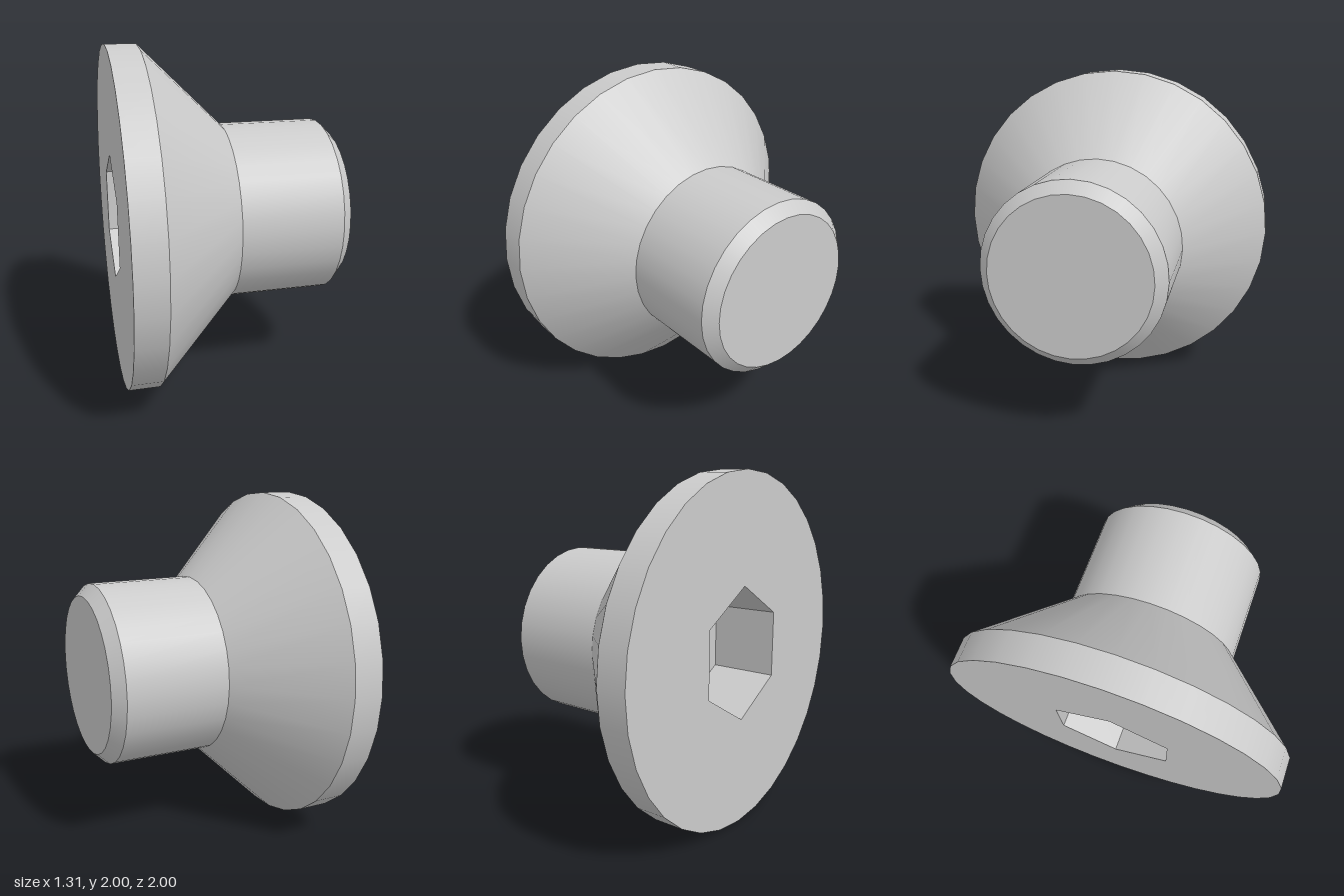
import * as THREE from 'three';

const SIDES = 32;
const SOCKET_R = 0.38, SOCKET_DEPTH = 0.4;
const END = 0.655; // half length along the x axis

// Points of a regular polygon, first corner on +y
function polygon(radius, sides) {
  return Array.from({ length: sides }, (_, i) => {
    const a = Math.PI / 2 + (i / sides) * Math.PI * 2;
    return new THREE.Vector2(radius * Math.cos(a), radius * Math.sin(a));
  });
}

export function createModel() {
  const group = new THREE.Group();
  const grey = new THREE.MeshStandardMaterial({ color: 0xcccccc });
  const inside = new THREE.MeshStandardMaterial({ color: 0xcccccc, flatShading: true, side: THREE.BackSide });

  const add = (name, geometry, material = grey) => {
    const mesh = new THREE.Mesh(geometry, material);
    mesh.name = name;
    mesh.position.y = 1;
    group.add(mesh);
  };

  // Turned surfaces: name, start x, start radius, end x, end radius
  const bands = [
    ['headRim', -END, 1, -0.48, 1],
    ['headCone', -0.48, 1, 0, 0.523],
    ['shank', 0, 0.523, 0.59, 0.523],
    ['tipChamfer', 0.59, 0.523, END, 0.458],
  ];
  for (const [name, x0, r0, x1, r1] of bands) {
    const profile = [new THREE.Vector2(r0, x0), new THREE.Vector2(r1, x1)];
    add(name, new THREE.LatheGeometry(profile, SIDES).rotateZ(-Math.PI / 2));
  }

  // Flat end of the shank
  add('tipFace', new THREE.CircleGeometry(0.458, SIDES).rotateY(Math.PI / 2).translate(END, 0, 0));

  // Flat head face with the hexagonal opening
  const face = new THREE.Shape(polygon(1, SIDES));
  face.holes.push(new THREE.Path(polygon(SOCKET_R, 6)));
  add('headFace', new THREE.ShapeGeometry(face).rotateY(-Math.PI / 2).translate(-END, 0, 0));

  // Socket walls and floor
  const walls = new THREE.CylinderGeometry(SOCKET_R, SOCKET_R, SOCKET_DEPTH, 6, 1, true, Math.PI / 2);
  add('socketWalls', walls.rotateZ(-Math.PI / 2).translate(-END + SOCKET_DEPTH / 2, 0, 0), inside);
  const floor = new THREE.ShapeGeometry(new THREE.Shape(polygon(SOCKET_R, 6)));
  add('socketFloor', floor.rotateY(-Math.PI / 2).translate(-END + SOCKET_DEPTH, 0, 0));

  return group;
}
